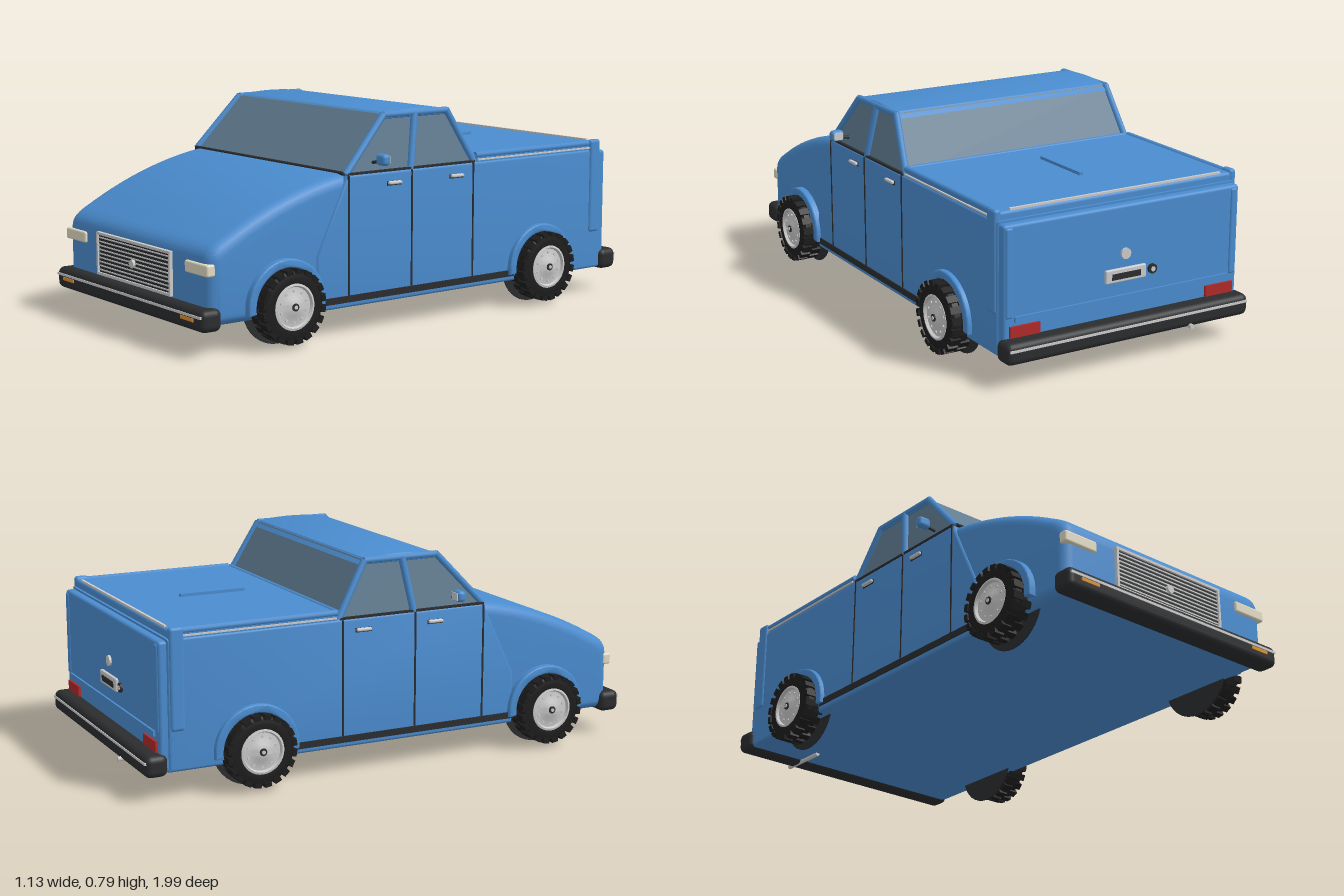
import * as THREE from 'three';
import { toCreasedNormals } from 'three/addons/utils/BufferGeometryUtils.js';
import { RoundedBoxGeometry } from 'three/addons/geometries/RoundedBoxGeometry.js';

const mat = (color, side = THREE.FrontSide) => new THREE.MeshStandardMaterial({ color, side });
const BLUE = mat(0x4a8ccf), GLASS = mat(0x627d92), BLACK = mat(0x2b2c2e), TYRE = mat(0x1d1d1e);
const GREY = mat(0xcccccc), CREAM = mat(0xe2ddc6), RED = mat(0xb02a2a), AMBER = mat(0xd9912e);

export function createModel() {
  const root = new THREE.Group();

  const add = (name, geo, material, x = 0, y = 0, z = 0, parent = root) => {
    const m = new THREE.Mesh(geo, material);
    m.name = name;
    m.position.set(x, y, z);
    parent.add(m);
    return m;
  };
  const box = (name, material, w, h, d, x, y, z, parent) =>
    add(name, new THREE.BoxGeometry(w, h, d), material, x, y, z, parent);
  const rbox = (name, material, w, h, d, r, x, y, z, parent) =>
    add(name, new RoundedBoxGeometry(w, h, d, 3, r), material, x, y, z, parent);

  // Extrudes a (z, y) side profile across the full width, with rounded edges
  const sideExtrude = (shape, width, bevel) => {
    const g = new THREE.ExtrudeGeometry(shape, {
      depth: width - 2 * bevel, bevelEnabled: true, bevelSize: bevel, bevelThickness: bevel,
      bevelOffset: -bevel, bevelSegments: 5, curveSegments: 14,
    });
    g.translate(0, 0, -(width - 2 * bevel) / 2);
    g.rotateY(-Math.PI / 2);
    return toCreasedNormals(g, 0.6);
  };
  // Round bar between two points
  const bar = (name, material, a, b, r) => {
    const p = new THREE.Vector3(...a), q = new THREE.Vector3(...b);
    const m = add(name, new THREE.CylinderGeometry(r, r, p.distanceTo(q), 10), material);
    m.position.copy(p).lerp(q, 0.5);
    m.quaternion.setFromUnitVectors(new THREE.Vector3(0, 1, 0), q.sub(p).normalize());
    return m;
  };

  // Nose and hood
  const nose = new THREE.Shape();
  nose.moveTo(0.28, 0.1);
  nose.lineTo(0.945, 0.1);
  nose.lineTo(0.945, 0.32);
  nose.bezierCurveTo(0.945, 0.37, 0.91, 0.385, 0.86, 0.412);
  nose.bezierCurveTo(0.72, 0.49, 0.55, 0.555, 0.37, 0.582);
  nose.lineTo(0.28, 0.582);
  add('hood', sideExtrude(nose, 0.985, 0.045), BLUE);

  // Middle body, bed and tailgate
  const poly = pts => new THREE.Shape(pts.map(p => new THREE.Vector2(...p)));
  add('body', sideExtrude(poly([[-0.9, 0.1], [0.5, 0.1], [0.5, 0.3], [0.365, 0.578], [-0.9, 0.578]]), 1, 0.012), BLUE);
  rbox('bedCover', BLUE, 0.99, 0.1, 0.65, 0.012, 0, 0.557, -0.565);
  rbox('tailgate', BLUE, 0.985, 0.47, 0.05, 0.012, 0, 0.335, -0.905);
  box('tailgateLedge', BLUE, 0.9, 0.02, 0.012, 0, 0.235, -0.932);
  box('coverRidge', BLUE, 0.014, 0.012, 0.26, 0, 0.612, -0.52);
  box('tailgateTrim', GREY, 0.88, 0.008, 0.01, 0, 0.609, -0.88);

  // Cabin glass: a tapered block
  const glass = new THREE.BoxGeometry(1, 1, 1);
  const gp = glass.attributes.position;
  for (let i = 0; i < gp.count; i++) {
    const top = gp.getY(i) > 0, front = gp.getZ(i) > 0;
    gp.setXYZ(i, Math.sign(gp.getX(i)) * (top ? 0.457 : 0.488), top ? 0.78 : 0.57,
      front ? (top ? 0.177 : 0.368) : (top ? -0.122 : -0.238));
  }
  glass.computeVertexNormals();
  add('windows', glass, GLASS);

  // Roof panel and window trims
  const roof = new THREE.Shape();
  roof.moveTo(0.192, 0.762);
  roof.lineTo(0.165, 0.785);
  roof.quadraticCurveTo(0.02, 0.803, -0.115, 0.785);
  roof.lineTo(-0.138, 0.762);
  add('roof', sideExtrude(roof, 0.93, 0.008), BLUE);
  bar('windscreenTrim', BLACK, [-0.485, 0.582, 0.37], [0.485, 0.582, 0.37], 0.007);
  bar('rearWindowTrim', BLUE, [-0.485, 0.6, -0.236], [0.485, 0.6, -0.236], 0.01);

  for (const s of [-1, 1]) {
    // Pillars and roof rails
    bar('frontPillar', BLUE, [s * 0.486, 0.578, 0.366], [s * 0.462, 0.78, 0.175], 0.013);
    bar('middlePillar', BLUE, [s * 0.487, 0.575, 0.07], [s * 0.462, 0.78, 0.032], 0.014);
    bar('rearPillar', BLUE, [s * 0.486, 0.578, -0.236], [s * 0.462, 0.78, -0.12], 0.013);
    bar('roofRail', BLUE, [s * 0.462, 0.778, 0.177], [s * 0.462, 0.778, -0.122], 0.012);
    box('waistTrim', BLACK, 0.012, 0.008, 0.6, s * 0.493, 0.58, 0.065);

    // Doors: seams, handles and sill
    for (const z of [0.362, 0.072, -0.225])
      box('doorSeam', BLACK, 0.006, 0.43, 0.007, s * 0.499, 0.36, z);
    for (const z of [0.155, -0.142]) {
      rbox('doorHandle', GREY, 0.016, 0.012, 0.06, 0.005, s * 0.505, 0.535, z);
      box('handleRecess', BLACK, 0.004, 0.016, 0.066, s * 0.5, 0.533, z);
    }
    box('sill', BLACK, 0.014, 0.024, 0.94, s * 0.498, 0.132, 0.035);

    // Bed rail and corner post
    bar('bedRail', BLUE, [s * 0.487, 0.602, -0.245], [s * 0.487, 0.602, -0.88], 0.012);
    box('bedRailTrim', GREY, 0.006, 0.006, 0.6, s * 0.498, 0.585, -0.55);
    rbox('cornerPost', BLUE, 0.03, 0.37, 0.055, 0.012, s * 0.492, 0.432, -0.865);
    rbox('tailgatePost', BLUE, 0.03, 0.32, 0.02, 0.008, s * 0.47, 0.4, -0.925);

    // Mirror
    bar('mirrorArm', BLACK, [s * 0.47, 0.61, 0.24], [s * 0.53, 0.622, 0.235], 0.006);
    rbox('mirror', BLUE, 0.052, 0.042, 0.035, 0.014, s * 0.535, 0.627, 0.235);
    box('mirrorGlass', GREY, 0.036, 0.028, 0.003, s * 0.535, 0.627, 0.217);

    // Lamps
    rbox('headlight', CREAM, 0.145, 0.043, 0.035, 0.008, s * 0.418, 0.299, 0.938);
    box('indicator', AMBER, 0.08, 0.012, 0.01, s * 0.415, 0.131, 0.988);
    box('tailLight', RED, 0.12, 0.04, 0.016, s * 0.41, 0.192, -0.931);

    for (const z of [0.64, -0.57]) {
      // Wheel arch flare
      const arch = new THREE.Shape();
      arch.absarc(0, 0, 0.158, -0.1, Math.PI + 0.1, false);
      arch.absarc(0, 0, 0.136, Math.PI + 0.1, -0.1, true);
      const flare = new THREE.ExtrudeGeometry(arch, {
        depth: 0.02, bevelSize: 0.005, bevelThickness: 0.007, bevelSegments: 3, curveSegments: 28 });
      flare.translate(0, 0, -0.01);
      flare.rotateY(Math.PI / 2);
      add('wheelArch', toCreasedNormals(flare, 0.6), BLUE, s * 0.502, 0.148, z);

      // Dark wheel well disc
      const well = new THREE.CylinderGeometry(0.148, 0.148, 0.004, 36);
      well.rotateZ(Math.PI / 2);
      add('wheelWell', well, BLACK, s * 0.452, 0.148, z);

      const w = makeWheel(add);
      w.position.set(s * 0.52, 0.148, z);
      w.rotation.y = s > 0 ? 0 : Math.PI;
      root.add(w);
    }
  }

  // Grille with slats and a plain round boss
  const grille = new THREE.Group();
  grille.name = 'grille';
  grille.position.set(0, 0.255, 0.945);
  root.add(grille);
  box('grilleBack', BLACK, 0.5, 0.15, 0.012, 0, 0, 0, grille);
  for (const s of [-1, 1]) {
    box('grilleFrame', GREY, 0.512, 0.01, 0.026, 0, s * 0.075, 0, grille);
    box('grilleFrame', GREY, 0.01, 0.16, 0.026, s * 0.251, 0, 0, grille);
  }
  for (let i = 0; i < 9; i++)
    box('grilleSlat', GREY, 0.49, 0.005, 0.018, 0, -0.06 + i * 0.015, 0, grille);
  const disc = (name, material, r, x, y, z, n, parent) => {
    const g = new THREE.CylinderGeometry(r, r, 0.014, n);
    g.rotateX(Math.PI / 2);
    add(name, g, material, x, y, z, parent);
  };
  disc('grilleBoss', GREY, 0.016, 0, -0.003, 0.01, 8, grille);

  // Bumpers
  for (const s of [-1, 1]) {
    rbox('bumper', BLACK, 1.02, 0.08, 0.085, 0.024, 0, 0.13, s * 0.947);
    box('bumperStrip', GREY, 1.0, 0.009, 0.008, 0, 0.145, s * 0.988);
  }

  // Tailgate fittings and exhaust
  rbox('plateHolder', GREY, 0.17, 0.05, 0.014, 0.005, 0, 0.32, -0.934);
  box('plate', BLACK, 0.12, 0.022, 0.004, 0, 0.318, -0.941);
  disc('tailgateBoss', GREY, 0.02, 0, 0.395, -0.932, 16);
  disc('tailgateLock', BLACK, 0.018, -0.115, 0.32, -0.932, 16);
  disc('lockCentre', GREY, 0.009, -0.115, 0.32, -0.935, 12);
  bar('exhaust', GREY, [-0.25, 0.097, -0.8], [-0.25, 0.097, -1.0], 0.009);

  return root;
}

// Wheel facing +x: treaded tyre, dished rim, hub and bolts
function makeWheel(add) {
  const wheel = new THREE.Group();
  wheel.name = 'wheel';
  const lathe = pts => {
    const g = new THREE.LatheGeometry(pts.map(p => new THREE.Vector2(...p)), 36);
    g.rotateZ(-Math.PI / 2);
    return toCreasedNormals(g, 0.6);
  };
  add('tyre', lathe([[0, -0.036], [0.1, -0.038], [0.118, -0.034], [0.126, -0.024], [0.126, 0.024],
    [0.118, 0.034], [0.1, 0.038], [0.082, 0.036], [0.08, 0.02]]), TYRE, 0, 0, 0, wheel);
  for (let i = 0; i < 40; i++) {
    const a = i * Math.PI / 20, side = i % 2 ? 1 : -1;
    const m = add('tread', new THREE.BoxGeometry(0.04, 0.018, 0.026), TYRE,
      side * 0.02, 0.124 * Math.cos(a), 0.124 * Math.sin(a), wheel);
    m.rotation.x = a;
  }
  add('rim', lathe([[0.081, 0.02], [0.083, 0.038], [0.075, 0.04], [0.07, 0.03], [0.04, 0.032],
    [0.028, 0.04], [0, 0.04]]), GREY, 0, 0, 0, wheel);
  const knob = (name, r, x, y, z, material) => {
    const g = new THREE.CylinderGeometry(r, r, 0.012, 12);
    g.rotateZ(Math.PI / 2);
    add(name, g, material, x, y, z, wheel);
  };
  knob('hub', 0.014, 0.038, 0, 0, BLACK);
  knob('hubCap', 0.007, 0.041, 0, 0, GREY);
  for (let i = 0; i < 10; i++) {
    const a = i * Math.PI / 5;
    knob('bolt', 0.005, 0.029, 0.056 * Math.cos(a), 0.056 * Math.sin(a), GREY);
  }
  return wheel;
}
